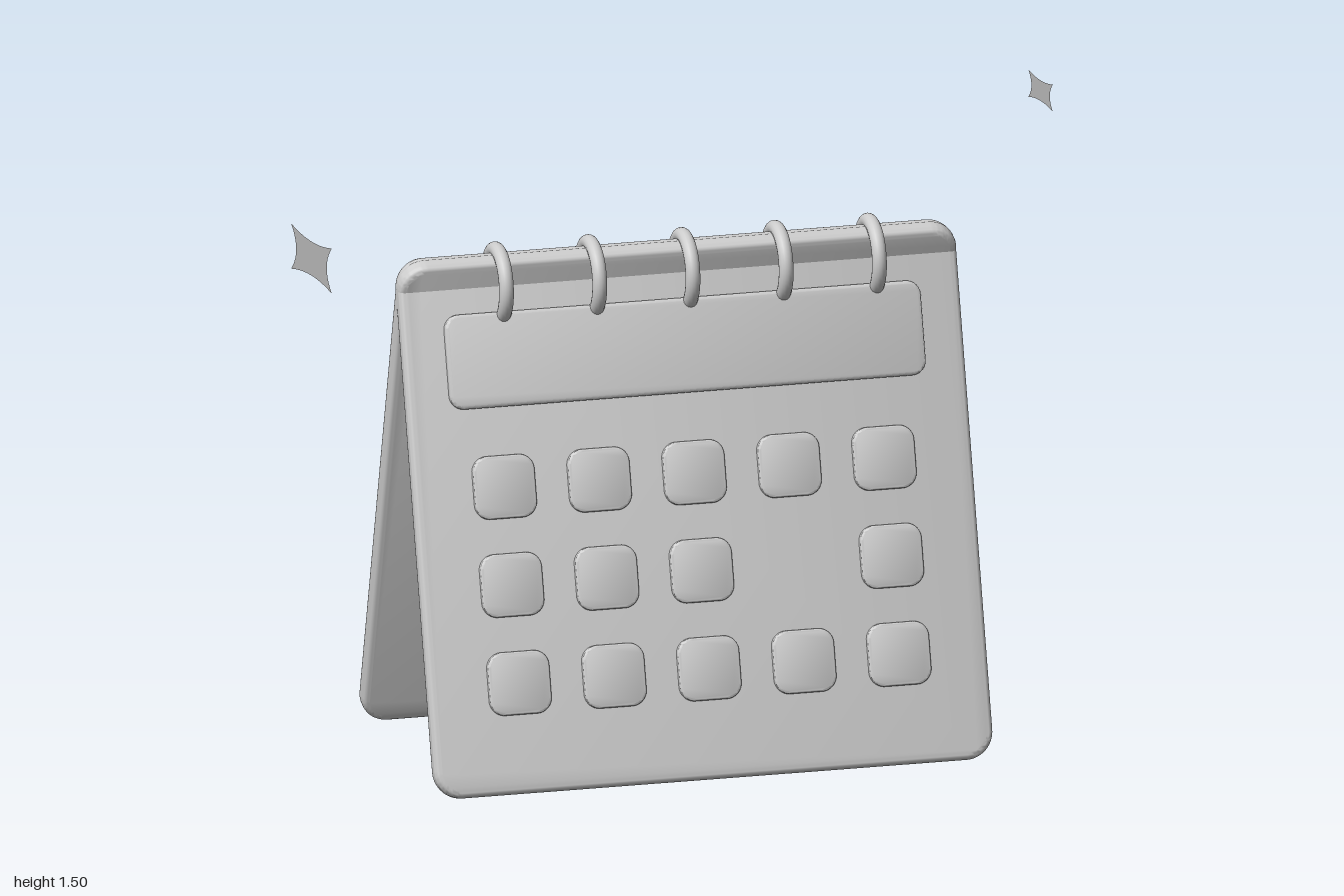
import * as THREE from 'three';
import { toCreasedNormals } from 'three/addons/utils/BufferGeometryUtils.js';

const TILT = 0.294;        // lean of each board
const APEX_Z = -0.117;     // depth of the line where the boards cross
const CENTRE_X = 0.07;
const THICK = 0.047;

// Rounded-corner slab centred on the origin, with softened edges
function slab(w, h, d, r, bevel) {
  const x = w / 2, y = h / 2;
  const s = new THREE.Shape();
  s.moveTo(-x + r, -y);
  s.lineTo(x - r, -y);
  s.absarc(x - r, -y + r, r, -Math.PI / 2, 0);
  s.lineTo(x, y - r);
  s.absarc(x - r, y - r, r, 0, Math.PI / 2);
  s.lineTo(-x + r, y);
  s.absarc(-x + r, y - r, r, Math.PI / 2, Math.PI);
  s.lineTo(-x, -y + r);
  s.absarc(-x + r, -y + r, r, Math.PI, Math.PI * 1.5);
  const g = new THREE.ExtrudeGeometry(s, {
    depth: d - 2 * bevel, bevelEnabled: true, bevelThickness: bevel,
    bevelSize: bevel, bevelOffset: -bevel, bevelSegments: 5, curveSegments: 8,
  });
  g.translate(0, 0, -d / 2 + bevel);
  return toCreasedNormals(g, 0.7);
}

// Four-pointed sparkle with concave sides
function sparkle(r) {
  const c = r * 0.25;
  const s = new THREE.Shape();
  s.moveTo(0, r);
  s.quadraticCurveTo(-c, c, -r, 0);
  s.quadraticCurveTo(-c, -c, 0, -r);
  s.quadraticCurveTo(c, -c, r, 0);
  s.quadraticCurveTo(c, c, 0, r);
  return new THREE.ShapeGeometry(s, 10);
}

export function createModel() {
  const model = new THREE.Group();
  model.name = 'deskCalendar';
  const grey = new THREE.MeshStandardMaterial({ color: 0xcccccc });
  grey.name = 'light grey';
  const greySheet = new THREE.MeshStandardMaterial({ color: 0xcccccc, side: THREE.DoubleSide });
  greySheet.name = 'light grey sheet';

  const add = (parent, name, geometry, x, y, z, material = grey) => {
    const mesh = new THREE.Mesh(geometry, material);
    mesh.name = name;
    mesh.position.set(x, y, z);
    parent.add(mesh);
    return mesh;
  };

  // Two boards leaning together and crossing just below the top
  const boardGeo = slab(1.32, 1.238, THICK, 0.065, 0.016);
  const front = new THREE.Group();
  front.name = 'frontPage';
  front.position.set(CENTRE_X, 0.6, APEX_Z + 0.159);
  front.rotation.x = -TILT;
  model.add(front);
  add(front, 'frontBoard', boardGeo, 0, 0, 0);
  const back = add(model, 'backBoard', boardGeo, CENTRE_X, 0.6, APEX_Z - 0.159);
  back.rotation.x = TILT;

  // Raised heading plate and day tiles on the front board
  const face = THICK / 2;
  add(front, 'headingPlate', slab(1.125, 0.217, 0.034, 0.034, 0.007), 0, 0.375, face);
  const tileGeo = slab(0.146, 0.145, 0.028, 0.036, 0.006);
  [0.69, 0.475, 0.26].forEach((height, row) => {
    for (let col = 0; col < 5; col++) {
      if (row === 1 && col === 3) continue; // gap in the middle row
      add(front, 'dayTile', tileGeo, (col - 2) * 0.2245, (height - 0.61) / Math.cos(TILT), face);
    }
  });

  // Binding rings around the top edge
  const ringGeo = new THREE.TorusGeometry(0.08, 0.017, 16, 48);
  for (let i = 0; i < 5; i++) {
    const ring = add(model, 'bindingRing', ringGeo, -0.352 + i * 0.2205, 1.124, APEX_Z);
    ring.rotation.y = Math.PI / 2;
  }

  // Floating sparkles on either side, facing diagonally forward and up
  const sparkles = [[-0.932, 1.379, 0.406, 0.093], [0.954, 1.46, -0.197, 0.056]];
  for (const [x, y, z, r] of sparkles) {
    const star = add(model, 'sparkle', sparkle(r), x, y, z, greySheet);
    star.lookAt(x + 1, y + 1, z + 1);
  }
  return model;
}
